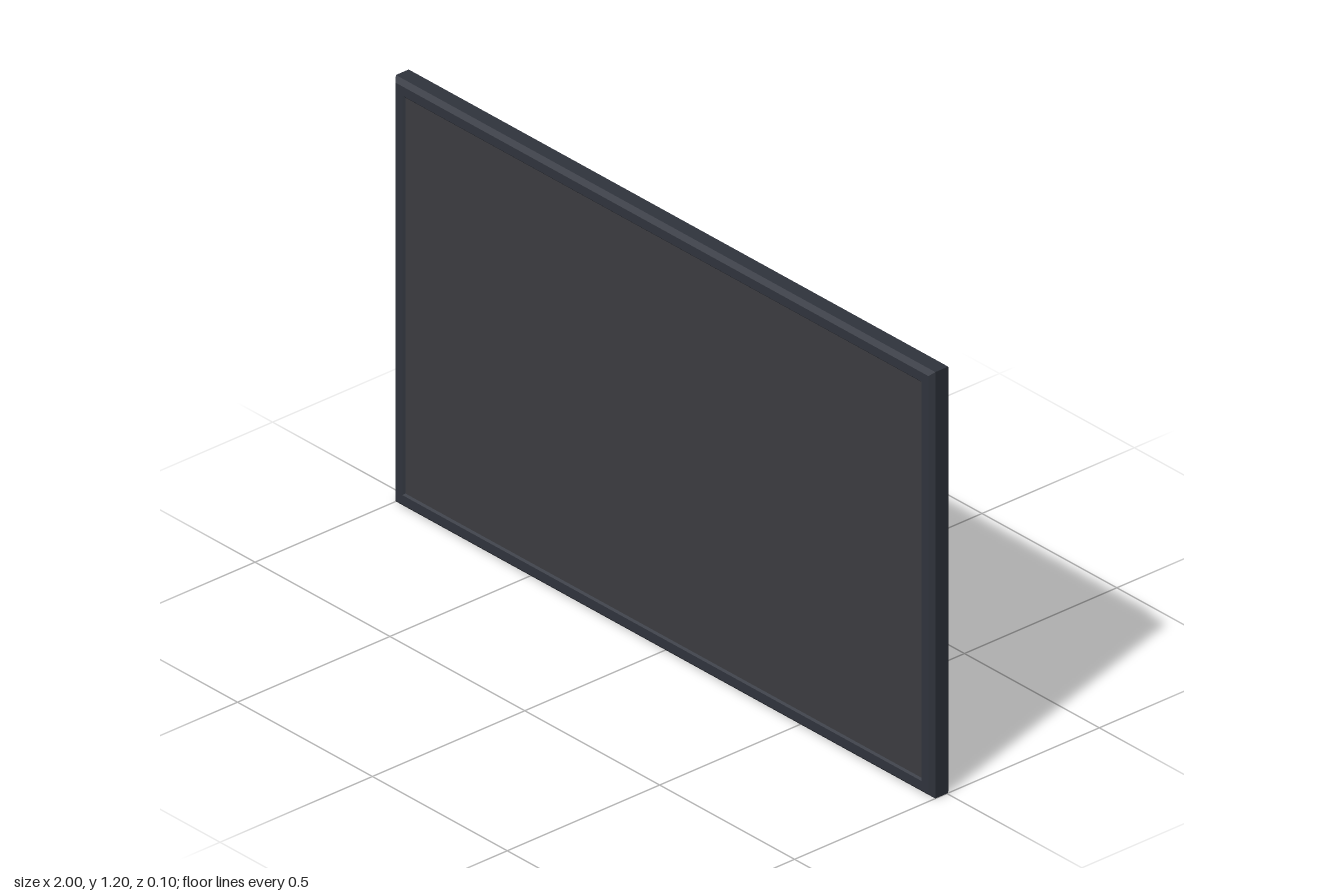
import * as THREE from 'three';

const mat = (color) => new THREE.MeshStandardMaterial({ color });
const M = {
  frame: mat(0x30343d), panel: mat(0x3c3c41), black: mat(0x1b1c1f), dark: mat(0x33353a),
  steel: mat(0x6c6f75), red: mat(0xb03a32), blue: mat(0x2c4a9c), gold: mat(0xb58a32),
  vial: mat(0x2a6f96), glow: mat(0xd9a04f),
};
const BACK = 0.01; // rear surface of the board, where the tools hang

export function createModel() {
  const root = new THREE.Group();

  function add(parent, name, geometry, material, x = 0, y = 0, z = 0) {
    const m = new THREE.Mesh(geometry, material);
    m.name = name;
    m.position.set(x, y, z);
    parent.add(m);
    return m;
  }
  function group(name, x = 0, y = 0) {
    const g = new THREE.Group();
    g.name = name;
    g.position.set(x, y, 0);
    root.add(g);
    return g;
  }
  // outline extruded from z0 to z1 with chamfered edges
  function slab(shape, z0, z1, bevel) {
    const g = new THREE.ExtrudeGeometry(shape, {
      depth: z1 - z0 - 2 * bevel, bevelEnabled: bevel > 0, bevelThickness: bevel,
      bevelSize: bevel, bevelOffset: -bevel, bevelSegments: 1, curveSegments: 8,
    });
    return g.translate(0, 0, z0 + bevel);
  }
  function rect(w, h, Type = THREE.Shape) {
    const s = new Type();
    s.moveTo(-w / 2, -h / 2);
    s.lineTo(w / 2, -h / 2);
    s.lineTo(w / 2, h / 2);
    s.lineTo(-w / 2, h / 2);
    s.closePath();
    return s;
  }
  // chamfered block hanging on the board, its outer face at z
  const block = (w, h, z, bevel = 0.004) => slab(rect(w, h), z, BACK + 0.003, bevel);

  // Frame and board
  const outline = rect(2, 1.2);
  outline.holes.push(rect(1.9, 1.1, THREE.Path));
  add(root, 'frame', slab(outline, -0.016, 0.05, 0.012), M.frame, 0, 0.6);
  add(root, 'board', new THREE.BoxGeometry(1.92, 1.12, 0.035), M.panel, 0, 0.6, BACK + 0.0175);

  // Light bar along the top of the rear
  add(root, 'lightBar', new THREE.BoxGeometry(1.84, 0.04, 0.036), M.frame, 0, 1.14, -0.032);
  add(root, 'lightStrip', new THREE.BoxGeometry(1.8, 0.01, 0.024), M.glow, 0, 1.116, -0.033);

  // Measuring tape
  const tape = new THREE.CylinderGeometry(0.07, 0.07, 0.046, 32).rotateX(Math.PI / 2);
  add(root, 'measuringTape', tape, M.gold, 0.815, 0.78, -0.012);

  // Pliers
  const pliers = group('pliers', 0.622, 0);
  add(pliers, 'pliersHead', block(0.06, 0.055, -0.026, 0.008), M.dark, 0, 0.862);
  for (const s of [-1, 1]) {
    const grip = add(pliers, 'pliersGrip', block(0.03, 0.28, -0.022), M.red, s * 0.027, 0.702);
    grip.rotation.z = s * 0.17;
  }

  // Hammer
  const hammer = group('hammer', 0.424, 0);
  add(hammer, 'hammerHead', block(0.17, 0.048, -0.028, 0.01), M.dark, 0, 0.812);
  add(hammer, 'hammerHandle', block(0.036, 0.345, -0.02), M.dark, 0, 0.625);

  // Screwdrivers
  [M.red, M.blue, M.gold, M.red].forEach((color, i) => {
    const driver = group('screwdriver', 0.15 - 0.09 * i, 0);
    const handle = new THREE.CylinderGeometry(0.024, 0.019, 0.12, 8).toNonIndexed();
    handle.computeVertexNormals();
    add(driver, 'screwdriverHandle', handle, color, 0, 1.0, -0.006);
    add(driver, 'screwdriverShaft', new THREE.CylinderGeometry(0.008, 0.008, 0.2, 12),
      M.steel, 0, 0.845, -0.006);
  });

  // Wrenches, each longer than the last, with an open jaw on top
  for (let i = 0; i < 6; i++) {
    const wrench = group('wrench', -0.286 - 0.1005 * i, 0);
    const bottom = 0.83 - 0.041 * i;
    add(wrench, 'wrenchShank', block(0.04, 1.03 - bottom, -0.018), M.black, 0, (1.03 + bottom) / 2);
    add(wrench, 'wrenchJawBase', block(0.078, 0.034, -0.02), M.black, 0, 1.035);
    for (const s of [-1, 1]) {
      add(wrench, 'wrenchJaw', block(0.026, 0.05, -0.02), M.black, s * 0.026, 1.062);
    }
  }

  // Spirit level
  const level = group('spiritLevel', 0.55, 0.303);
  add(level, 'levelBody', block(0.5, 0.046, -0.028, 0.008), M.gold);
  add(level, 'levelVial', new THREE.BoxGeometry(0.055, 0.024, 0.01), M.vial, 0, 0, -0.026);

  // Carpenter's square
  const square = new THREE.Shape();
  square.moveTo(-0.105, 0.268);
  square.lineTo(0.2, 0.268);
  square.lineTo(0.2, 0.296);
  square.lineTo(-0.07, 0.296);
  square.lineTo(-0.07, 0.48);
  square.lineTo(-0.105, 0.48);
  square.closePath();
  add(root, 'carpenterSquare', slab(square, -0.008, BACK + 0.003, 0), M.steel);

  // Hand saw
  const saw = group('handSaw', 0, 0.3);
  add(saw, 'sawBlade', block(0.52, 0.12, -0.006, 0), M.steel, -0.51, 0);
  add(saw, 'sawHandle', block(0.105, 0.115, -0.026, 0.01), M.dark, -0.807, 0);

  return root;
}
